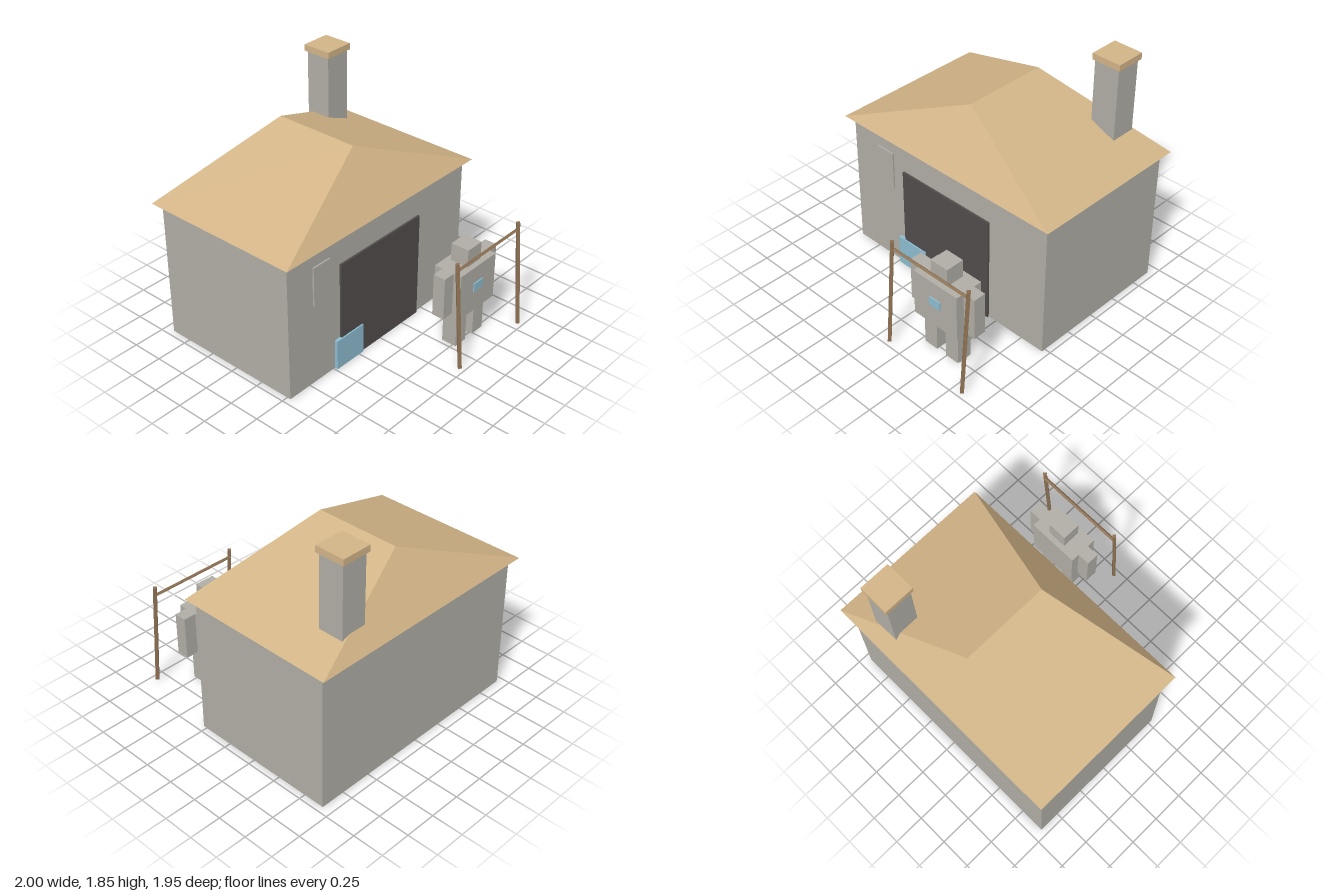
import * as THREE from 'three';

const mat = (name, color) => {
  const m = new THREE.MeshStandardMaterial({ color });
  m.name = name;
  return m;
};

export function createModel() {
  const stone = mat('stone', 0xb0ada5);
  const thatch = mat('thatch', 0xd2b487);
  const dark = mat('darkDoor', 0x524d4d);
  const blue = mat('paleBlue', 0x8cbcd0);
  const wood = mat('wood', 0x8b6f52);

  const model = new THREE.Group();
  model.name = 'cottage';

  const add = (parent, name, geometry, material) => {
    const mesh = new THREE.Mesh(geometry, material);
    mesh.name = name;
    parent.add(mesh);
    return mesh;
  };
  const group = (name) => {
    const g = new THREE.Group();
    g.name = name;
    model.add(g);
    return g;
  };
  // Box given by its limits on each axis
  const box = (parent, name, material, [x0, x1], [y0, y1], [z0, z1]) => {
    const mesh = add(parent, name, new THREE.BoxGeometry(x1 - x0, y1 - y0, z1 - z0), material);
    mesh.position.set((x0 + x1) / 2, (y0 + y1) / 2, (z0 + z1) / 2);
    return mesh;
  };
  // Four-sided pole from a to b, set on its edge
  const pole = (parent, name, a, b, radius) => {
    const dir = b.clone().sub(a);
    const geometry = new THREE.CylinderGeometry(radius, radius, dir.length(), 4).toNonIndexed();
    geometry.computeVertexNormals();
    const mesh = add(parent, name, geometry, wood);
    mesh.position.copy(a).add(b).multiplyScalar(0.5);
    mesh.quaternion.setFromUnitVectors(new THREE.Vector3(0, 1, 0), dir.normalize());
    return mesh;
  };

  // House body
  const house = group('house');
  box(house, 'walls', stone, [-0.95, 0.95], [0, 1.11], [-0.92, 0.28]);
  box(house, 'doorway', dark, [-0.43, 0.43], [0, 0.866], [0.28, 0.296]);
  box(house, 'windowPanel', stone, [-0.703, -0.537], [0.66, 0.972], [0.28, 0.292]);
  box(house, 'bluePanel', blue, [-0.486, -0.206], [0, 0.245], [0.28, 0.307]);

  // Hipped roof with a closed underside
  const corners = [
    -1, 1.11, 0.333, 1, 1.11, 0.333, 1, 1.11, -0.975, -1, 1.11, -0.975,
    0, 1.52, 0.025, 0, 1.52, -0.667,
  ];
  let roof = new THREE.BufferGeometry();
  roof.setAttribute('position', new THREE.Float32BufferAttribute(corners, 3));
  roof.setIndex([0, 1, 4, 1, 2, 5, 1, 5, 4, 2, 3, 5, 3, 0, 4, 3, 4, 5, 0, 3, 2, 0, 2, 1]);
  roof = roof.toNonIndexed();
  roof.computeVertexNormals();
  add(house, 'roof', roof, thatch);

  // Chimney
  box(house, 'chimney', stone, [0.513, 0.722], [1.12, 1.8], [-0.87, -0.665]);
  box(house, 'chimneyCap', thatch, [0.499, 0.738], [1.8, 1.85], [-0.888, -0.65]);

  // Blocky stone figure
  const figure = group('stoneFigure');
  box(figure, 'torso', stone, [0.241, 0.655], [0.282, 0.658], [0.594, 0.828]);
  box(figure, 'head', stone, [0.37, 0.526], [0.658, 0.8], [0.636, 0.786]);
  box(figure, 'badge', blue, [0.396, 0.5], [0.452, 0.524], [0.828, 0.837]);
  for (const side of [-1, 1]) {
    const label = side > 0 ? 'left' : 'right';
    const span = (inner, outer) => [0.448 + side * inner, 0.448 + side * outer].sort((a, b) => a - b);
    box(figure, label + 'Arm', stone, span(0.207, 0.308), [0.315, 0.658], [0.661, 0.761]);
    box(figure, label + 'Leg', stone, span(0.044, 0.163), [0, 0.282], [0.655, 0.777]);
  }

  // Leaning wooden frame in front of the figure
  const frame = group('woodenFrame');
  for (const [name, x] of [['rightPost', 0.102], ['leftPost', 0.827]]) {
    pole(frame, name, new THREE.Vector3(x, 0.002, 0.955), new THREE.Vector3(x, 0.865, 0.887), 0.019);
  }
  pole(frame, 'crossbar', new THREE.Vector3(0.102, 0.802, 0.885), new THREE.Vector3(0.827, 0.802, 0.885), 0.014);

  return model;
}
